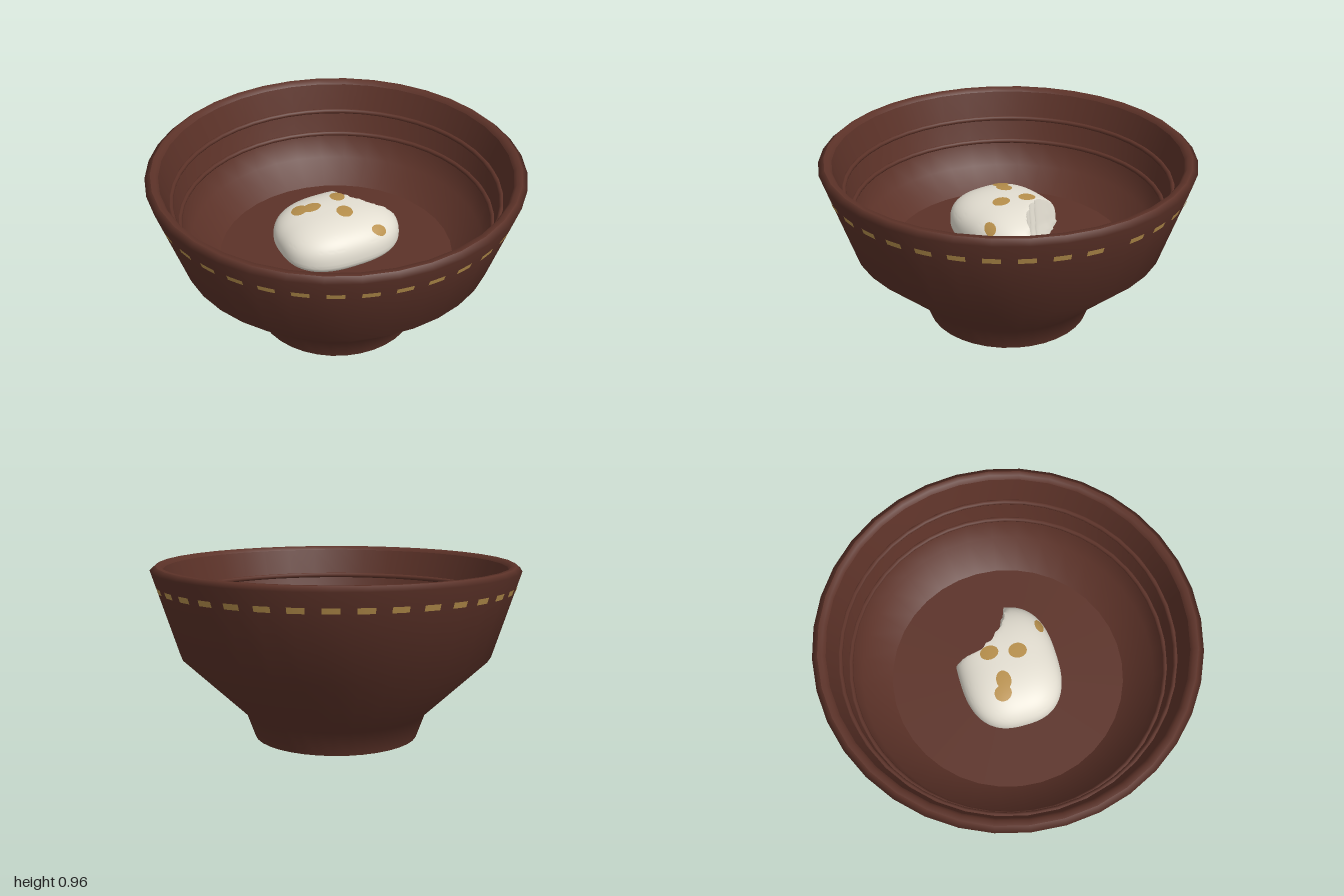
import * as THREE from 'three';
import { toCreasedNormals } from 'three/addons/utils/BufferGeometryUtils.js';

const material = (name, color) => {
  const m = new THREE.MeshStandardMaterial({ color });
  m.name = name;
  return m;
};

// Bun proportions: half width, half depth, centre height, rise above and drop below it
const BUN = { a: 0.34, b: 0.275, n: 2.6, y: 0.51, up: 0.17, down: 0.11, e: 0.8 };

// Rounded-square outline of the bun, as a radius per direction
function bunRadius(angle) {
  const c = Math.abs(Math.cos(angle) / BUN.a), s = Math.abs(Math.sin(angle) / BUN.b);
  return (c ** BUN.n + s ** BUN.n) ** (-1 / BUN.n);
}

// Height of the bun's top surface
function bunTop(x, z) {
  const f = Math.min(1, Math.hypot(x, z) / bunRadius(Math.atan2(z, x))) ** (1 / BUN.e);
  return BUN.y + BUN.up * Math.sqrt(1 - f * f) ** BUN.e;
}

// Distance from the bun's axis to the bite, which widens upward
function biteDistance(angle, t) {
  const cx = 0.39, cz = -0.24;
  const r = 0.28 + 0.035 * t + 0.012 * Math.abs(Math.sin(angle * 6 + t));
  const along = cx * Math.cos(angle) + cz * Math.sin(angle);
  const disc = along * along - (cx * cx + cz * cz - r * r);
  return along > 0 && disc > 0 ? along - Math.sqrt(disc) : Infinity;
}

function bunGeometry() {
  const g = new THREE.SphereGeometry(1, 120, 56);
  const p = g.attributes.position;
  for (let i = 0; i < p.count; i++) {
    const x = p.getX(i), y = p.getY(i), z = p.getZ(i);
    const angle = Math.atan2(z, x);
    const ys = Math.sign(y) * Math.abs(y) ** BUN.e;
    const full = Math.hypot(x, z) ** BUN.e * bunRadius(angle);
    const r = Math.min(full, biteDistance(angle, (ys + 1) / 2));
    p.setXYZ(i, r * Math.cos(angle), BUN.y + ys * (ys > 0 ? BUN.up : BUN.down), r * Math.sin(angle));
  }
  return toCreasedNormals(g, 0.7);
}

// Oval patch draped over the bun
function spotGeometry(cx, cz, rx, rz) {
  const g = new THREE.RingGeometry(0, 1, 28, 5);
  const p = g.attributes.position;
  for (let i = 0; i < p.count; i++) {
    const x = cx + rx * p.getX(i), z = cz - rz * p.getY(i);
    p.setXYZ(i, x, bunTop(x, z) + 0.005, z);
  }
  g.computeVertexNormals();
  return g;
}

export function createModel() {
  const model = new THREE.Group();
  model.name = 'bowlWithBun';
  const clay = material('brown clay', 0x5c3228);
  const gold = material('gold', 0xb8904c);
  const cream = material('cream', 0xe4dfd2);
  const pale = material('pale grey', 0xc8c4c0);

  const add = (name, geometry, mat, parent) => {
    const mesh = new THREE.Mesh(geometry, mat);
    mesh.name = name;
    parent.add(mesh);
  };
  const addGroup = (name) => {
    const group = new THREE.Group();
    group.name = name;
    model.add(group);
    return group;
  };
  const lathe = (...points) =>
    new THREE.LatheGeometry(points.map(([x, y]) => new THREE.Vector2(x, y)), 36);

  // Bowl shell
  const bowl = addGroup('bowl');
  add('outerWall', lathe([0.45, 0.003], [0.5, 0.14], [0.85, 0.47], [1, 0.935], [0.97, 0.96]), clay, bowl);
  add('rim', lathe([0.97, 0.96], [0.945, 0.96], [0.93, 0.94]), clay, bowl);
  add('innerWall', lathe([0.93, 0.94], [0.885, 0.785], [0.85, 0.65], [0.8, 0.51], [0.645, 0.4]), clay, bowl);
  add('floor', new THREE.CircleGeometry(0.646, 64).rotateX(-Math.PI / 2).translate(0, 0.4, 0), clay, bowl);
  add('base', new THREE.CircleGeometry(0.45, 36).rotateX(Math.PI / 2).translate(0, 0.003, 0), clay, bowl);
  add('basePad', new THREE.CircleGeometry(0.25, 40).rotateX(Math.PI / 2), pale, bowl);

  // Raised rings inside the bowl
  for (const [r, y] of [[0.845, 0.65], [0.88, 0.785]]) {
    add('innerRing', new THREE.TorusGeometry(r, 0.014, 8, 48).rotateX(Math.PI / 2).translate(0, y, 0), clay, bowl);
  }

  // Painted dashes around the outside, with a gap at the seam
  const dashes = addGroup('dashes');
  for (let k = 0; k < 37; k++) {
    const angle = 1.622 + 0.1677 * k;
    const dash = new THREE.CylinderGeometry(0.979, 0.969, 0.03, 5, 1, true, angle - 0.044, 0.088);
    add('dash', dash.translate(0, 0.845, 0), gold, dashes);
  }

  // Bitten bun and its spots
  const bun = addGroup('bun');
  add('bunBody', bunGeometry(), cream, bun);
  const spots = [
    [-0.185, -0.08, 0.043, 0.046], [-0.12, -0.058, 0.052, 0.04],
    [0.05, -0.09, 0.04, 0.05], [0.02, 0.06, 0.043, 0.05], [0.145, 0.22, 0.042, 0.024],
  ];
  for (const s of spots) add('spot', spotGeometry(...s), gold, bun);

  return model;
}
